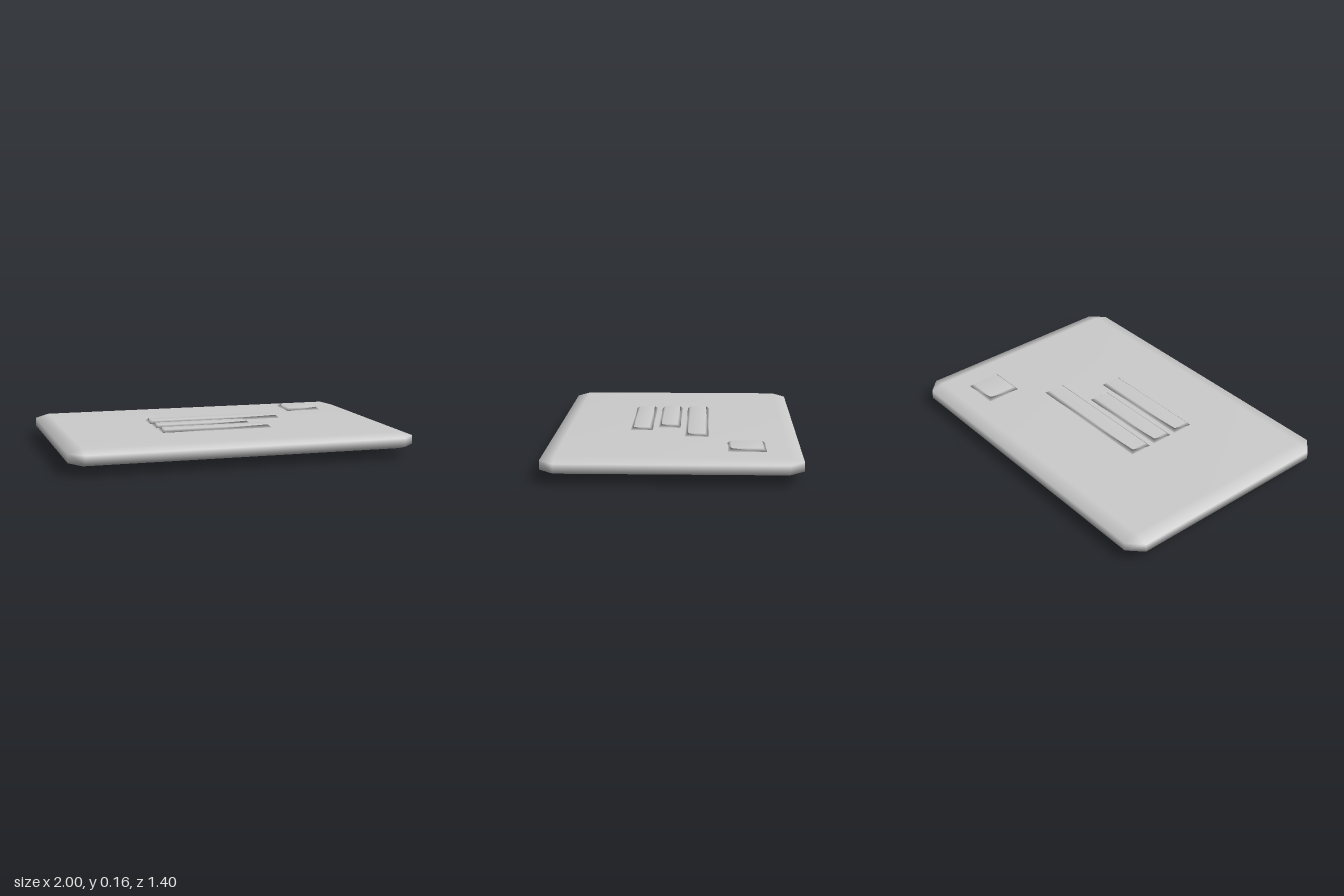
import * as THREE from 'three';
import { mergeVertices } from 'three/addons/utils/BufferGeometryUtils.js';
import { ConvexGeometry } from 'three/addons/geometries/ConvexGeometry.js';

const paper = new THREE.MeshStandardMaterial({ color: 0xcccccc });
paper.name = 'paper grey';

// Convex solid with shared vertices, so its shading is smooth
function smoothHull(name, points) {
  let geometry = new ConvexGeometry(points.map((p) => new THREE.Vector3(...p)));
  geometry.deleteAttribute('normal');
  geometry = mergeVertices(geometry, 1e-4);
  geometry.computeVertexNormals();
  const mesh = new THREE.Mesh(geometry, paper);
  mesh.name = name;
  return mesh;
}

// Low raised pad with sloping sides, resting on the envelope's face
function raisedPad(name, x0, x1, z0, z1) {
  const points = [];
  for (const [y, inset] of [[0.137, 0], [0.156, 0.022]]) {
    for (const x of [x0 + inset, x1 - inset]) {
      for (const z of [z0 + inset, z1 - inset]) points.push([x, y, z]);
    }
  }
  return smoothHull(name, points);
}

export function createModel() {
  const group = new THREE.Group();
  group.name = 'envelope';

  // Body: a flat box with every edge bevelled, three points per corner
  const body = [];
  for (const sx of [-1, 1]) {
    for (const sz of [-1, 1]) {
      for (const [face, rim] of [[0.14, 0.118], [0.046, 0.068]]) {
        body.push(
          [0.92 * sx, face, 0.62 * sz],
          [1 * sx, rim, 0.62 * sz],
          [0.92 * sx, rim, 0.7 * sz]
        );
      }
    }
  }
  group.add(smoothHull('body', body));

  // Flap underneath: a wedge that thickens towards its rounded tip
  const flap = [];
  for (const [x, z] of [[0.92, -0.62], [0.31, -0.09], [0.12, 0.03]]) {
    const bottom = 0.045 * (0.03 - z) / 0.65;
    for (const sx of [-1, 1]) {
      flap.push([x * sx, bottom, z], [x * sx, 0.05, z]);
    }
  }
  group.add(smoothHull('flap', flap));

  // Address lines and stamp on the upper face
  group.add(
    raisedPad('addressLineTop', -0.395, 0.43, -0.195, -0.055),
    raisedPad('addressLineMiddle', -0.395, 0.19, -0.03, 0.105),
    raisedPad('addressLineBottom', -0.395, 0.27, 0.13, 0.265),
    raisedPad('stamp', 0.565, 0.79, -0.51, -0.295)
  );

  return group;
}
